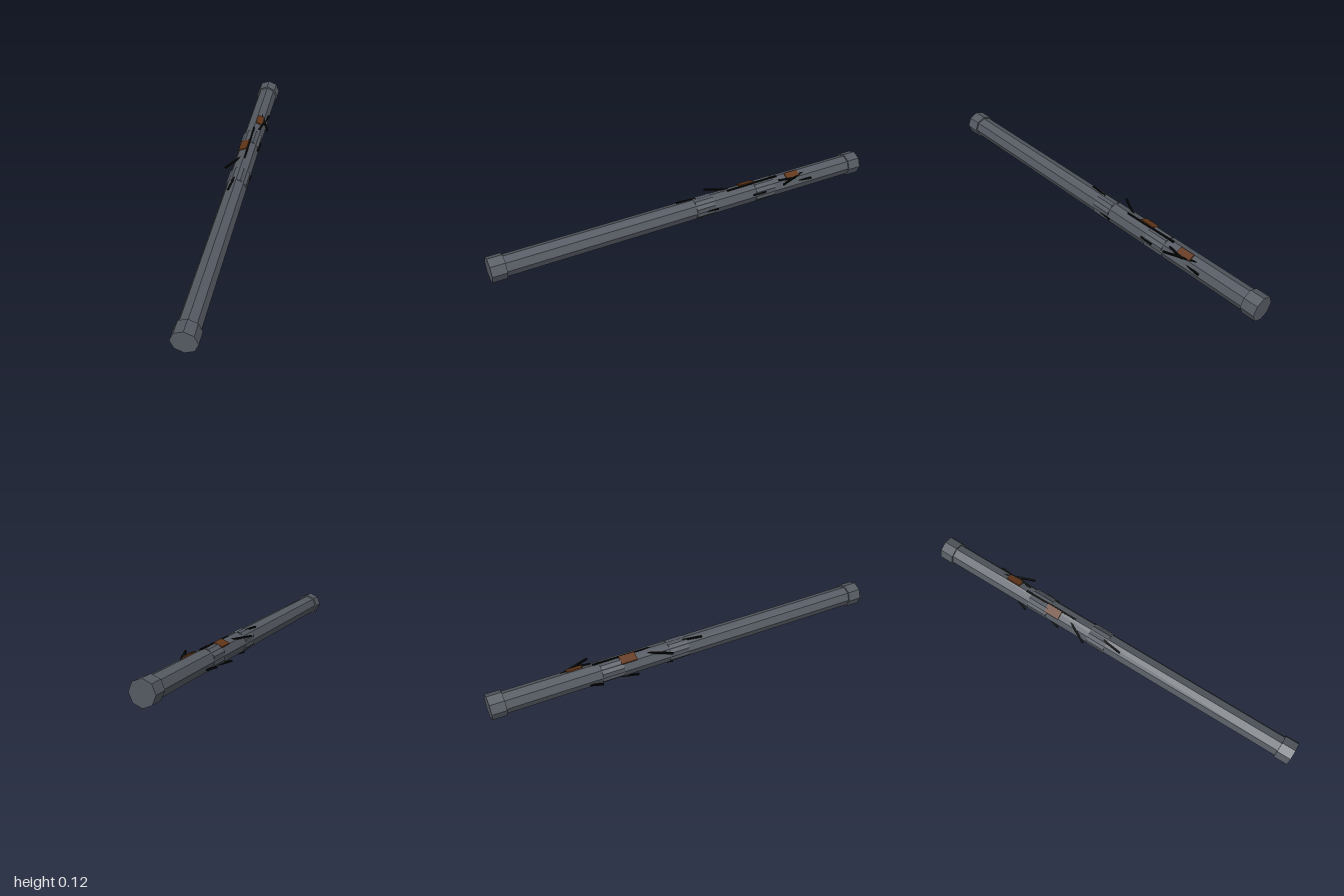
import * as THREE from 'three';

const AXIS_Y = 0.06; // height of the pipe's centre line

export function createModel() {
  const model = new THREE.Group();
  const makeMaterial = (name, color) => {
    const m = new THREE.MeshStandardMaterial({ color });
    m.name = name;
    return m;
  };
  const steel = makeMaterial('dull steel', 0x555a62);
  const rust = makeMaterial('rust brown', 0x633619);
  const black = makeMaterial('crack black', 0x080808);

  // Eight-sided section lying along z between two z positions
  function section(name, radius, z0, z1, turn = 0) {
    const geo = new THREE.CylinderGeometry(radius, radius, z1 - z0, 8);
    geo.rotateY(turn);
    geo.rotateX(Math.PI / 2);
    const flat = geo.toNonIndexed();
    flat.computeVertexNormals();
    const mesh = new THREE.Mesh(flat, steel);
    mesh.name = name;
    mesh.position.set(0, AXIS_Y, (z0 + z1) / 2);
    model.add(mesh);
  }

  section('pipe', 0.052, -0.97, 0.97);
  section('frontCap', 0.06, 0.93, 1);
  section('backCap', 0.06, -1, -0.93);
  section('frontCollar', 0.0545, -0.12, -0.02, Math.PI / 8);
  section('backCollar', 0.0545, -0.47, -0.36, Math.PI / 8);

  // Thin rust plates resting on the two upper facets
  function rustPatch(side, z, width, length) {
    const mesh = new THREE.Mesh(new THREE.BoxGeometry(width, 0.008, length), rust);
    const angle = side * Math.PI / 8;
    mesh.name = 'rustPatch';
    mesh.position.set(Math.sin(angle) * 0.05, AXIS_Y + Math.cos(angle) * 0.05, z);
    mesh.rotation.z = -angle;
    model.add(mesh);
  }
  rustPatch(-1, -0.33, 0.044, 0.08);
  rustPatch(1, -0.585, 0.036, 0.075);

  // Narrow black slivers: start x, y, z, then end x, y, z
  const cracks = [
    [0.004, 0.109, -0.21, 0.002, 0.112, -0.5],
    [-0.076, 0.1, -0.12, -0.01, 0.1, -0.24],
    [-0.024, 0.104, 0.06, -0.012, 0.107, -0.04],
    [0.052, 0.057, -0.135, 0.047, 0.057, -0.07],
    [0.052, 0.072, -0.41, 0.047, 0.07, -0.34],
    [0.051, 0.074, -0.69, 0.04, 0.074, -0.61],
    [-0.062, 0.036, -0.475, -0.04, 0.036, -0.535],
    [-0.05, 0.018, -0.29, -0.025, 0.018, -0.37],
    [-0.03, 0.013, -0.1, 0.016, 0.013, -0.2],
    [0.074, 0.1, -0.5, 0.018, 0.1, -0.65],
    [0.028, 0.1, -0.5, 0.045, 0.1, -0.59],
  ];
  for (const [x0, y0, z0, x1, y1, z1] of cracks) {
    const start = new THREE.Vector3(x0, y0, z0);
    const end = new THREE.Vector3(x1, y1, z1);
    const geo = new THREE.BoxGeometry(0.009, 0.008, start.distanceTo(end));
    const mesh = new THREE.Mesh(geo, black);
    mesh.name = 'crack';
    mesh.position.copy(start).lerp(end, 0.5);
    mesh.lookAt(end);
    model.add(mesh);
  }

  return model;
}
